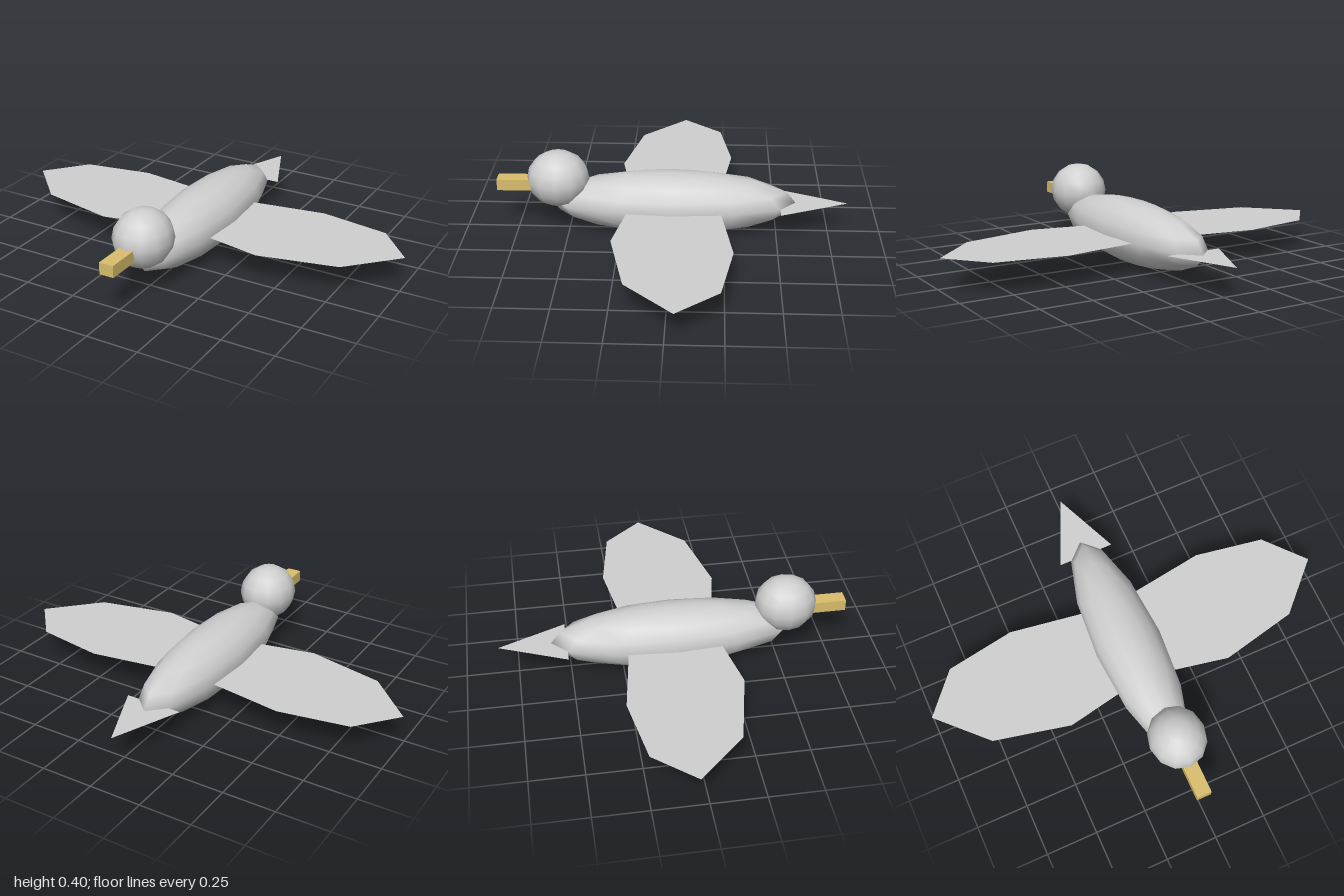
import * as THREE from 'three';

export function createModel() {
  const bird = new THREE.Group();
  bird.name = 'bird';
  const plumage = new THREE.MeshStandardMaterial({ color: 0xd0d0d0, side: THREE.DoubleSide });
  plumage.name = 'pale grey plumage';
  const horn = new THREE.MeshStandardMaterial({ color: 0xd9be6c });
  horn.name = 'golden beak';

  const midY = 0.155;

  function add(name, geometry, material, x, y, z) {
    const mesh = new THREE.Mesh(geometry, material);
    mesh.name = name;
    mesh.position.set(x, y, z);
    bird.add(mesh);
    return mesh;
  }

  // Smooth low-poly ellipsoid
  const ellipsoid = (rx, ry, rz) => new THREE.SphereGeometry(1, 12, 8).scale(rx, ry, rz);

  // Flat horizontal sheet from an outline of [x, z] points, facing up
  function sheet(points) {
    const shape = new THREE.Shape(points.map(([x, z]) => new THREE.Vector2(x, -z)));
    return new THREE.ShapeGeometry(shape).rotateX(-Math.PI / 2);
  }

  // Body and head
  add('body', ellipsoid(0.165, 0.15, 0.59), plumage, 0, midY, 0);
  add('head', ellipsoid(0.137, 0.137, 0.15), plumage, 0, 0.268, 0.547);

  // Beak, starting inside the head
  add('beak', new THREE.BoxGeometry(0.07, 0.056, 0.27), horn, 0, 0.241, 0.705);

  // Wings, mirrored left and right, with roots inside the body
  const wing = [
    [0.05, 0.195], [0.41, 0.265], [0.78, 0.183], [1, -0.04],
    [0.835, -0.232], [0.5, -0.288], [0.05, -0.22],
  ];
  for (const side of [1, -1]) {
    const outline = wing.map(([x, z]) => [x * side, z]);
    add(side > 0 ? 'leftWing' : 'rightWing', sheet(outline), plumage, 0, midY, 0);
  }

  // Tail fan
  add('tail', sheet([[-0.138, -0.515], [0.138, -0.515], [0, -0.84]]), plumage, 0, midY, 0);

  return bird;
}
